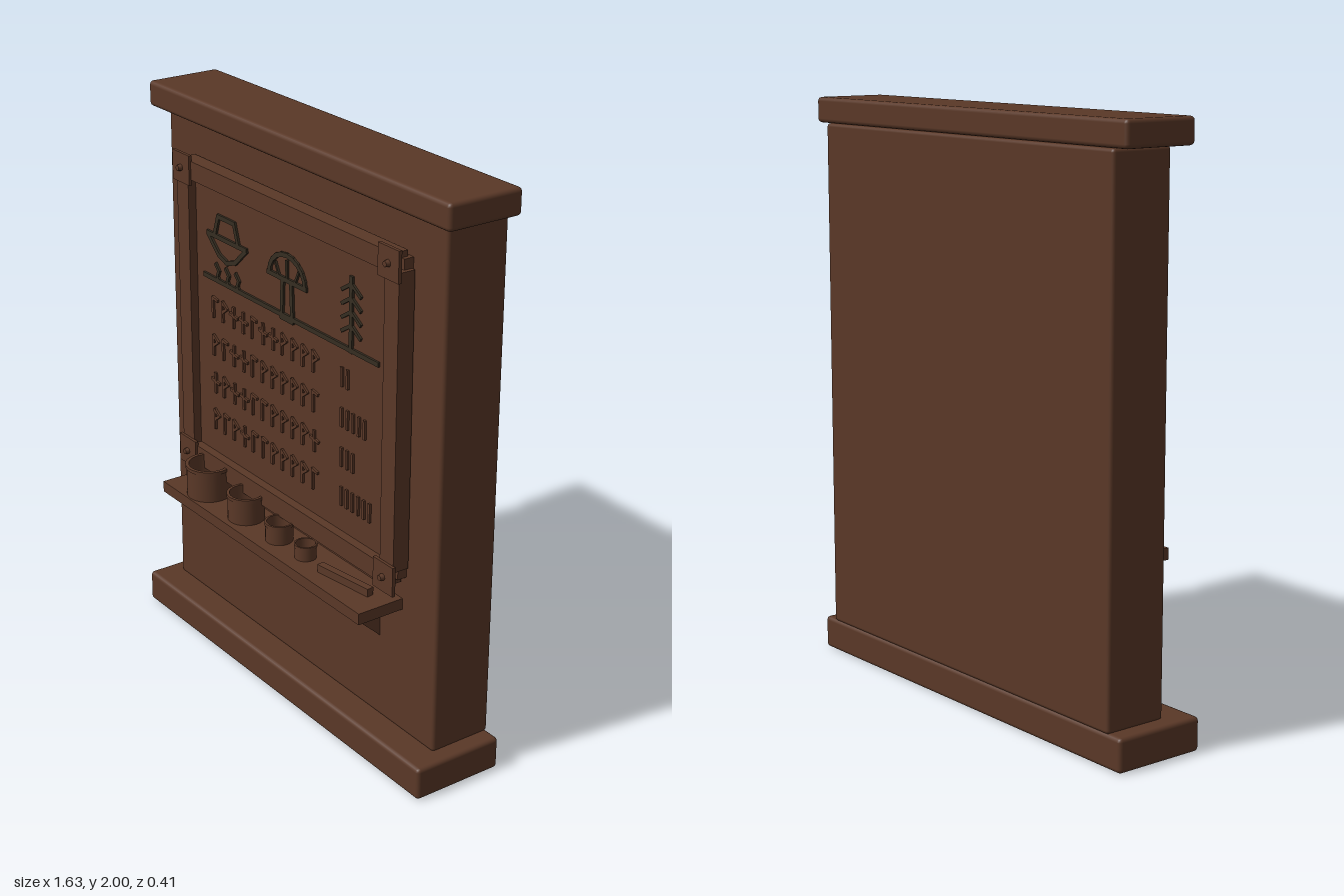
import * as THREE from 'three';
import { RoundedBoxGeometry } from 'three/addons/geometries/RoundedBoxGeometry.js';

export function createModel() {
  const model = new THREE.Group();
  model.name = 'noticeBoard';
  const wood = new THREE.MeshStandardMaterial({ name: 'brown wood', color: 0x5a3827 });
  const ink = new THREE.MeshStandardMaterial({ name: 'dark ink', color: 0x352d21 });

  const add = (name, geometry, material = wood, parent = model) => {
    const mesh = new THREE.Mesh(geometry, material);
    mesh.name = name;
    parent.add(mesh);
    return mesh;
  };
  const group = (name) => {
    const g = new THREE.Group();
    g.name = name;
    model.add(g);
    return g;
  };
  // Box given by its limits, optionally with rounded edges
  const block = (name, x0, x1, y0, y1, z0, z1, radius = 0) => {
    const size = [x1 - x0, y1 - y0, z1 - z0];
    const geo = radius ? new RoundedBoxGeometry(...size, 2, radius) : new THREE.BoxGeometry(...size);
    const mesh = add(name, geo);
    mesh.position.set((x0 + x1) / 2, (y0 + y1) / 2, (z0 + z1) / 2);
    return mesh;
  };

  // Standing slab with base and cap
  block('base', -0.815, 0.815, 0, 0.115, -0.205, 0.13, 0.014);
  block('wall', -0.757, 0.757, 0.112, 1.912, -0.205, 0.025, 0.012);
  block('cap', -0.815, 0.815, 1.912, 2, -0.205, 0.07, 0.014);

  // Framed board
  const face = 0.06;
  block('boardPanel', -0.6, 0.6, 0.69, 1.77, 0.02, face);
  block('topRail', -0.585, 0.585, 1.725, 1.79, 0.035, 0.092);
  block('bottomRail', -0.585, 0.585, 0.67, 0.74, 0.035, 0.092);
  for (const side of [-1, 1]) {
    const x = side * 0.579;
    block('sideRail', x - 0.035, x + 0.035, 0.73, 1.735, 0.03, 0.09);
    for (const y of [0.703, 1.758]) {
      const cx = side * 0.573;
      block('cornerPlate', cx - 0.051, cx + 0.051, y - 0.052, y + 0.052, 0.088, 0.1);
      const rivet = add('rivet', new THREE.CylinderGeometry(0.01, 0.013, 0.016, 8));
      rivet.rotation.x = Math.PI / 2;
      rivet.position.set(cx, y, 0.106);
    }
  }

  // Thin strokes along a list of points
  const stroke = (parent, name, points, width, material) => {
    for (let i = 1; i < points.length; i++) {
      const [ax, ay] = points[i - 1], [bx, by] = points[i];
      const length = Math.hypot(bx - ax, by - ay);
      const bar = add(name, new THREE.BoxGeometry(length + width * 0.7, width, 0.009), material, parent);
      bar.position.set((ax + bx) / 2, (ay + by) / 2, face + 0.0035);
      bar.rotation.z = Math.atan2(by - ay, bx - ax);
    }
  };
  const arc = (cx, cy, rx, ry, from, to) => Array.from({ length: 11 }, (_, i) => {
    const a = from + (to - from) * i / 10;
    return [cx + rx * Math.cos(a), cy + ry * Math.sin(a)];
  });

  // Cooking pot drawing with flames
  const pot = group('potDrawing');
  const line = (parent, points, width = 0.016) => stroke(parent, 'inkStroke', points, width, ink);
  line(pot, [[-0.425, 1.55], [-0.4, 1.625], [-0.305, 1.625], [-0.28, 1.55]]);
  line(pot, [[-0.465, 1.552], [-0.235, 1.552]]);
  line(pot, [[-0.46, 1.545], [-0.4, 1.49], [-0.35, 1.473], [-0.3, 1.49], [-0.24, 1.545]]);
  for (const x of [-0.415, -0.355, -0.295]) {
    line(pot, [[x - 0.005, 1.45], [x + 0.014, 1.43], [x + 0.005, 1.41], [x + 0.015, 1.395]], 0.012);
  }

  // Mushroom drawing
  const mushroom = group('mushroomDrawing');
  line(mushroom, arc(0, 1.52, 0.1, 0.085, Math.PI, 0));
  line(mushroom, [[-0.105, 1.52], [0.105, 1.52]]);
  line(mushroom, [[0, 1.52], [0, 1.585]], 0.01);
  for (const s of [-1, 1]) {
    line(mushroom, [[s * 0.045, 1.525], [s * 0.065, 1.565]], 0.008);
    line(mushroom, [[s * 0.024, 1.515], [s * 0.03, 1.385]]);
  }
  line(mushroom, [[-0.03, 1.385], [0.03, 1.385]]);

  // Fir tree drawing and ground line
  const tree = group('treeDrawing');
  line(tree, [[0.347, 1.635], [0.347, 1.39]]);
  for (let i = 0; i < 4; i++) {
    const y = 1.615 - i * 0.046;
    line(tree, [[0.3, y - 0.03], [0.347, y], [0.394, y - 0.03]], 0.012);
  }
  line(group('groundLine'), [[-0.49, 1.394], [0.485, 1.394]]);

  // Rows of abstract carved marks followed by tally bars
  const marks = {
    a: [[[0, -0.035], [0, 0.035], [0.026, 0.03]]],
    b: [[[0, -0.035], [0, 0.035], [0.026, 0.017], [0, -0.002]]],
    c: [[[0.008, -0.035], [0.008, 0.035]], [[-0.012, 0.01], [0.03, 0.002]]],
  };
  const carving = group('carvedMarks');
  const rows = [['abccaccbbbb', 2], ['baccabbbbba', 5], ['cbccaabbbbc', 3], ['babcaabbbba', 6]];
  rows.forEach(([pattern, tally], r) => {
    const y = 1.288 - r * 0.14;
    [...pattern].forEach((key, i) => {
      for (const path of marks[key]) {
        stroke(carving, 'carvedMark', path.map(([px, py]) => [-0.442 + i * 0.0585 + px, y + py]), 0.01, wood);
      }
    });
    for (let i = 0; i < tally; i++) {
      const x = 0.3 + i * 0.0305;
      stroke(carving, 'tallyBar', [[x, y - 0.03], [x, y + 0.03]], 0.01, wood);
    }
  });

  // Shelf on triangular brackets
  block('shelf', -0.583, 0.583, 0.565, 0.605, 0.02, 0.2);
  const wedge = new THREE.Shape([[-0.02, 0.565], [-0.19, 0.565], [-0.02, 0.41]].map(p => new THREE.Vector2(...p)));
  const wedgeGeo = new THREE.ExtrudeGeometry(wedge, { depth: 0.058, bevelEnabled: false });
  for (const x of [-0.478, 0.41]) {
    const bracket = add('shelfBracket', wedgeGeo);
    bracket.rotation.y = Math.PI / 2;
    bracket.position.x = x;
  }

  // Open cups, each a walled profile with a raised rim
  const cups = [[-0.412, 0.083, 0.117], [-0.178, 0.068, 0.097], [0.021, 0.05, 0.07], [0.174, 0.039, 0.052]];
  for (const [x, r, h] of cups) {
    const profile = [[0, 0], [r * 0.95, 0], [r * 0.95, h - 0.012], [r, h - 0.012], [r, h],
      [r * 0.85, h], [r * 0.85, 0.012], [0, 0.012]].map(p => new THREE.Vector2(...p));
    const geo = new THREE.LatheGeometry(profile.flatMap((p, i) => (i && i < 7 ? [p, p.clone()] : [p])), 32);
    add('cup', geo).position.set(x, 0.605, 0.115);
  }

  // Loose stick lying on the shelf
  const stick = add('stick', new THREE.BoxGeometry(0.232, 0.028, 0.026));
  stick.position.set(0.395, 0.619, 0.115);
  stick.rotation.y = 0.14;

  return model;
}
